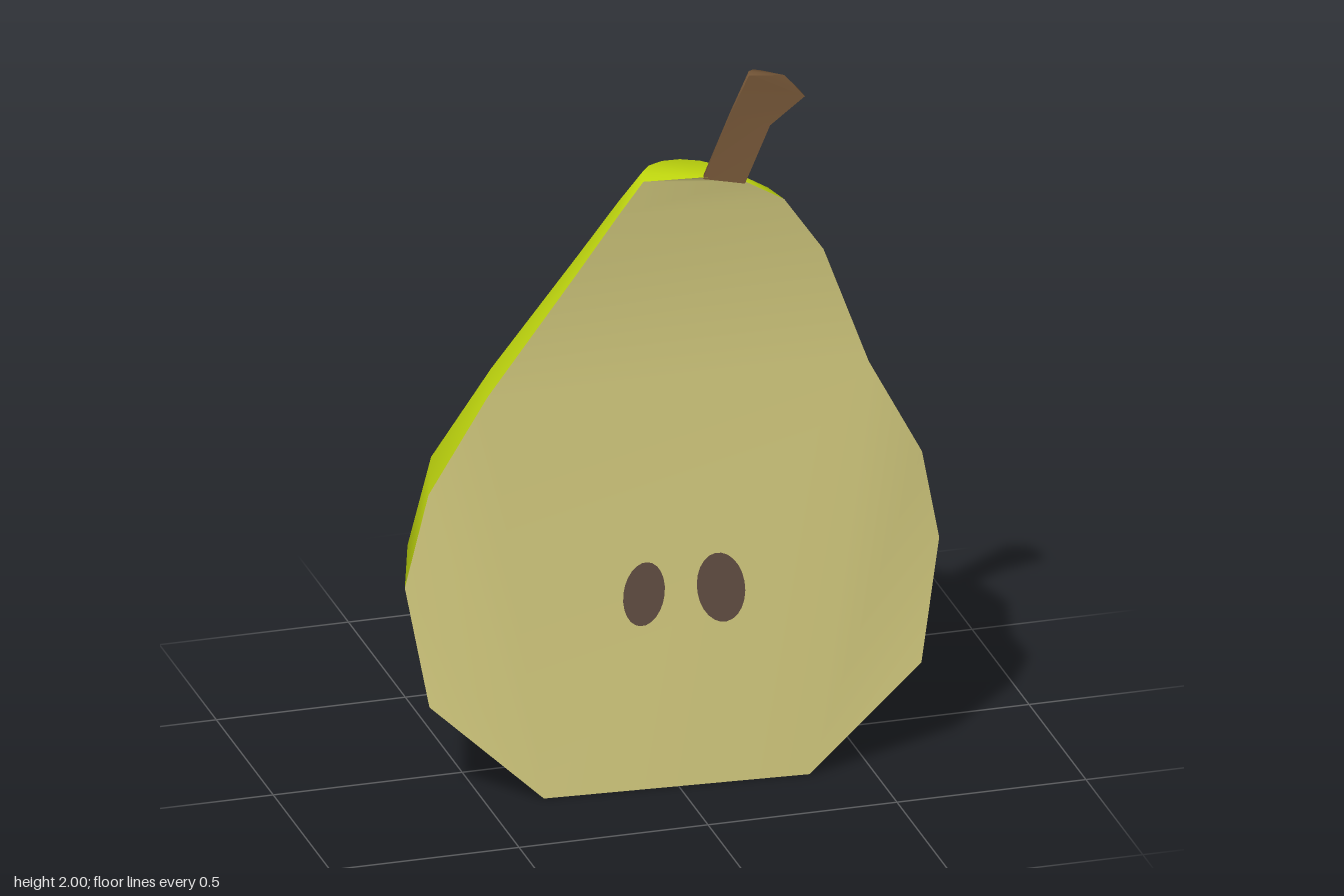
import * as THREE from 'three';

// Each section: left rim point, back point, right rim point
const BODY = [
  [[-0.35, 0, 0.22], [0, 0.015, -0.04], [0.34, 0, 0.265]],
  [[-0.64, 0.27, 0.177], [0.02, 0.285, -0.33], [0.64, 0.265, 0.25]],
  [[-0.7, 0.6, 0.16], [0.03, 0.62, -0.38], [0.69, 0.6, 0.24]],
  [[-0.645, 0.86, 0.185], [0.03, 0.865, -0.315], [0.64, 0.85, 0.255]],
  [[-0.5, 1.13, 0.225], [0.03, 1.13, -0.16], [0.49, 1.13, 0.285]],
  [[-0.28, 1.47, 0.285], [0.05, 1.47, 0.04], [0.36, 1.47, 0.32]],
  [[-0.18, 1.63, 0.315], [0.04, 1.63, 0.135], [0.25, 1.63, 0.34]],
  [[-0.12, 1.72, 0.33], [0.02, 1.705, 0.185], [0.14, 1.7, 0.355]],
];
const BODY_TOP = [0.03, 1.725, 0.358];

const STEM = [
  [[0.03, 1.72, 0.357], [0.085, 1.71, 0.315], [0.14, 1.695, 0.36]],
  [[0.1, 1.895, 0.365], [0.155, 1.88, 0.325], [0.205, 1.85, 0.365]],
  [[0.145, 2.0, 0.378], [0.225, 1.965, 0.3], [0.295, 1.922, 0.372]],
];
const STEM_TOP = [0.24, 1.988, 0.374];

const ANGLES = [0, 25, 47, 68, 90, 112, 133, 155, 180].map(THREE.MathUtils.degToRad);

function buildGeometry(points, index) {
  const g = new THREE.BufferGeometry();
  g.setAttribute('position', new THREE.Float32BufferAttribute(points.flat(), 3));
  g.setIndex(index);
  g.computeVertexNormals();
  return g;
}

// Rounded back: half-elliptical sections joined in order, closed at both ends
function halfShell(sections, top) {
  const points = [], index = [], n = ANGLES.length;
  for (const [l, b, r] of sections) {
    for (const t of ANGLES) {
      points.push([0, 1, 2].map((i) => {
        const mid = (l[i] + r[i]) / 2;
        return mid - Math.cos(t) * (r[i] - l[i]) / 2 + Math.sin(t) * (b[i] - mid);
      }));
    }
  }
  const [l0, , r0] = sections[0];
  const bottomId = points.push(l0.map((v, i) => (v + r0[i]) / 2)) - 1;
  const topId = points.push(top) - 1;
  const last = (sections.length - 1) * n;
  for (let j = 0; j < n - 1; j++) {
    for (let k = 0; k < sections.length - 1; k++) {
      const a = k * n + j, b = a + 1;
      index.push(b, a, a + n, b, a + n, b + n);
    }
    index.push(bottomId, j, j + 1, topId, last + j + 1, last + j);
  }
  return buildGeometry(points, index);
}

// Cut front: strips across the chosen rows, with fans over the side bulges between them
function cutFace(sections, top, rows) {
  const points = sections.flatMap(([l, , r]) => [l, r]);
  const index = [];
  const L = (k) => 2 * k, R = (k) => 2 * k + 1;
  for (let i = 0; i < rows.length - 1; i++) {
    const a = rows[i], b = rows[i + 1];
    index.push(L(a), R(a), R(b), L(a), R(b), L(b));
    for (let k = a + 1; k < b; k++) {
      index.push(R(a), R(k), R(k + 1), L(a), L(k + 1), L(k));
    }
  }
  const end = sections.length - 1;
  index.push(L(end), R(end), points.push(top) - 1);
  return buildGeometry(points, index);
}

export function createModel() {
  const model = new THREE.Group();
  model.name = 'halfPear';

  const material = (name, color) => {
    const m = new THREE.MeshStandardMaterial({ color });
    m.name = name;
    return m;
  };
  const skin = material('skin green', 0xc8e00f);
  const flesh = material('flesh cream', 0xd6cd80);
  const seedBrown = material('seed brown', 0x624e43);
  const bark = material('stem brown', 0x7a5a3a);

  const add = (name, geometry, mat, parent = model) => {
    const mesh = new THREE.Mesh(geometry, mat);
    mesh.name = name;
    parent.add(mesh);
    return mesh;
  };

  // Fruit
  add('skin', halfShell(BODY, BODY_TOP), skin);
  add('flesh', cutFace(BODY, BODY_TOP, [0, 4, 5, 6, 7]), flesh);

  // Stem, cut in half like the fruit
  const stem = new THREE.Group();
  stem.name = 'stem';
  model.add(stem);
  add('stemBack', halfShell(STEM, STEM_TOP), bark, stem);
  add('stemCut', cutFace(STEM, STEM_TOP, [0, 1, 2]), bark, stem);

  // Seeds lying on the cut face
  const seeds = [
    { name: 'rightSeed', x: -0.095, rx: 0.054, ry: 0.088, tilt: -0.1 },
    { name: 'leftSeed', x: 0.105, rx: 0.062, ry: 0.097, tilt: 0.16 },
  ];
  for (const { name, x, rx, ry, tilt } of seeds) {
    const shape = new THREE.Shape().absellipse(0, 0, rx, ry, 0, Math.PI * 2, false, tilt);
    const seed = add(name, new THREE.ShapeGeometry(shape, 12), seedBrown);
    seed.position.set(x, 0.546, 0.259 + 0.064 * x);
    seed.rotation.y = -0.064;
  }
  return model;
}
